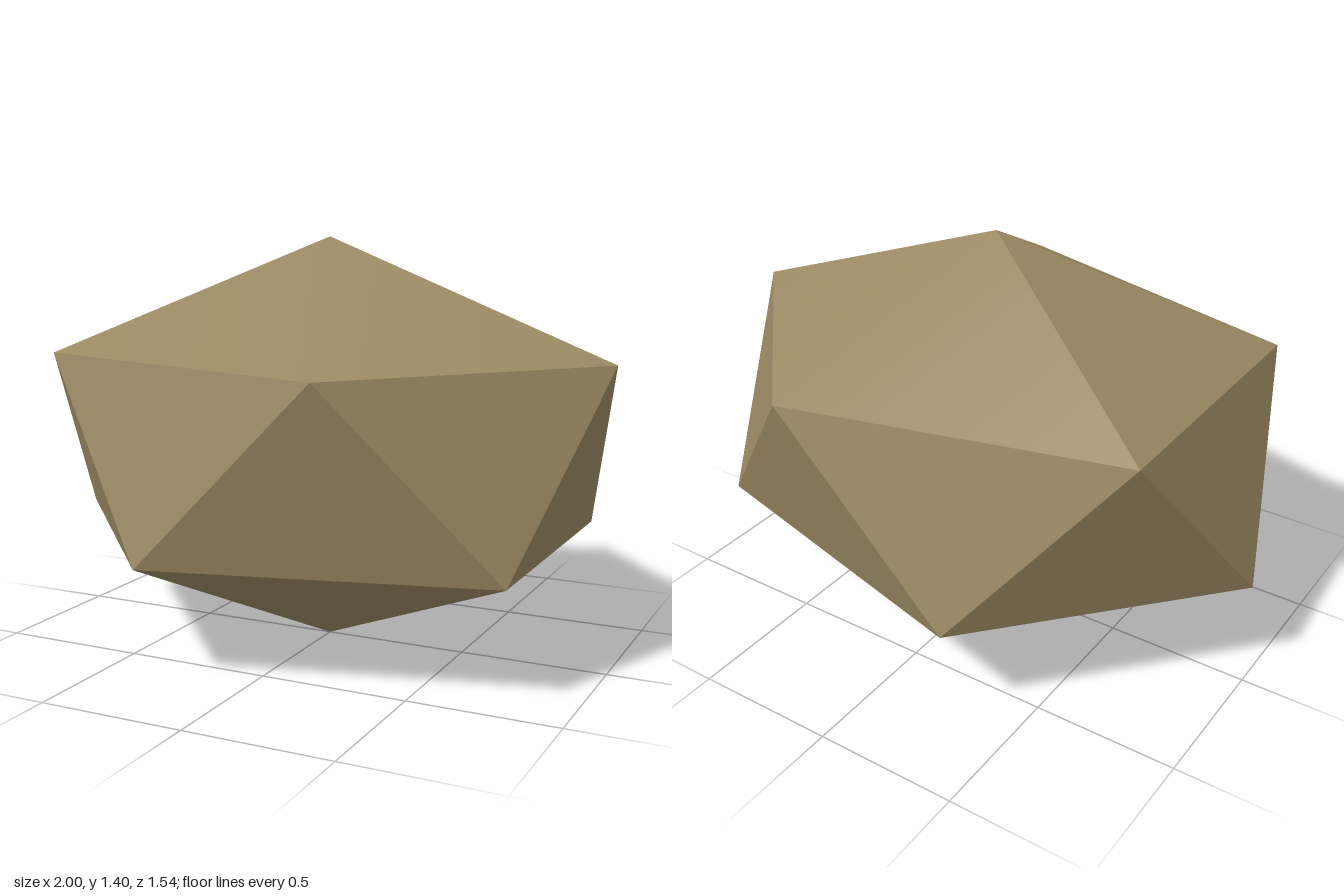
import * as THREE from 'three';
import { toCreasedNormals } from 'three/addons/utils/BufferGeometryUtils.js';

const HEIGHT = 1.4, LOW = 0.387, HIGH = 1.013; // apex and ring heights
const DEPTH = 0.812; // the rings are squeezed along z

// Five points on a ring, starting at a given angle
function ring(y, start) {
  return Array.from({ length: 5 }, (_, i) => {
    const a = start + (i * Math.PI * 2) / 5;
    return new THREE.Vector3(Math.cos(a), y, Math.sin(a) * DEPTH);
  });
}

export function createModel() {
  const group = new THREE.Group();
  group.name = 'boulder';
  const stone = new THREE.MeshStandardMaterial({ color: 0x9a8862 });
  stone.name = 'brown stone';

  const top = new THREE.Vector3(0, HEIGHT, 0);
  const bottom = new THREE.Vector3(0, 0, 0);
  const upper = ring(HIGH, 0);
  const lower = ring(LOW, Math.PI / 5);

  // Two five-sided caps joined by a zigzag belt
  const points = [];
  for (let i = 0; i < 5; i++) {
    const j = (i + 1) % 5;
    points.push(top, upper[j], upper[i]);
    points.push(upper[i], upper[j], lower[i]);
    points.push(lower[i], upper[j], lower[j]);
    points.push(bottom, lower[i], lower[j]);
  }

  // Only the shallowest cap ridges are smoothed
  const geometry = new THREE.BufferGeometry().setFromPoints(points);
  const rock = new THREE.Mesh(toCreasedNormals(geometry, Math.PI / 6), stone);
  rock.name = 'rock';
  group.add(rock);
  return group;
}
